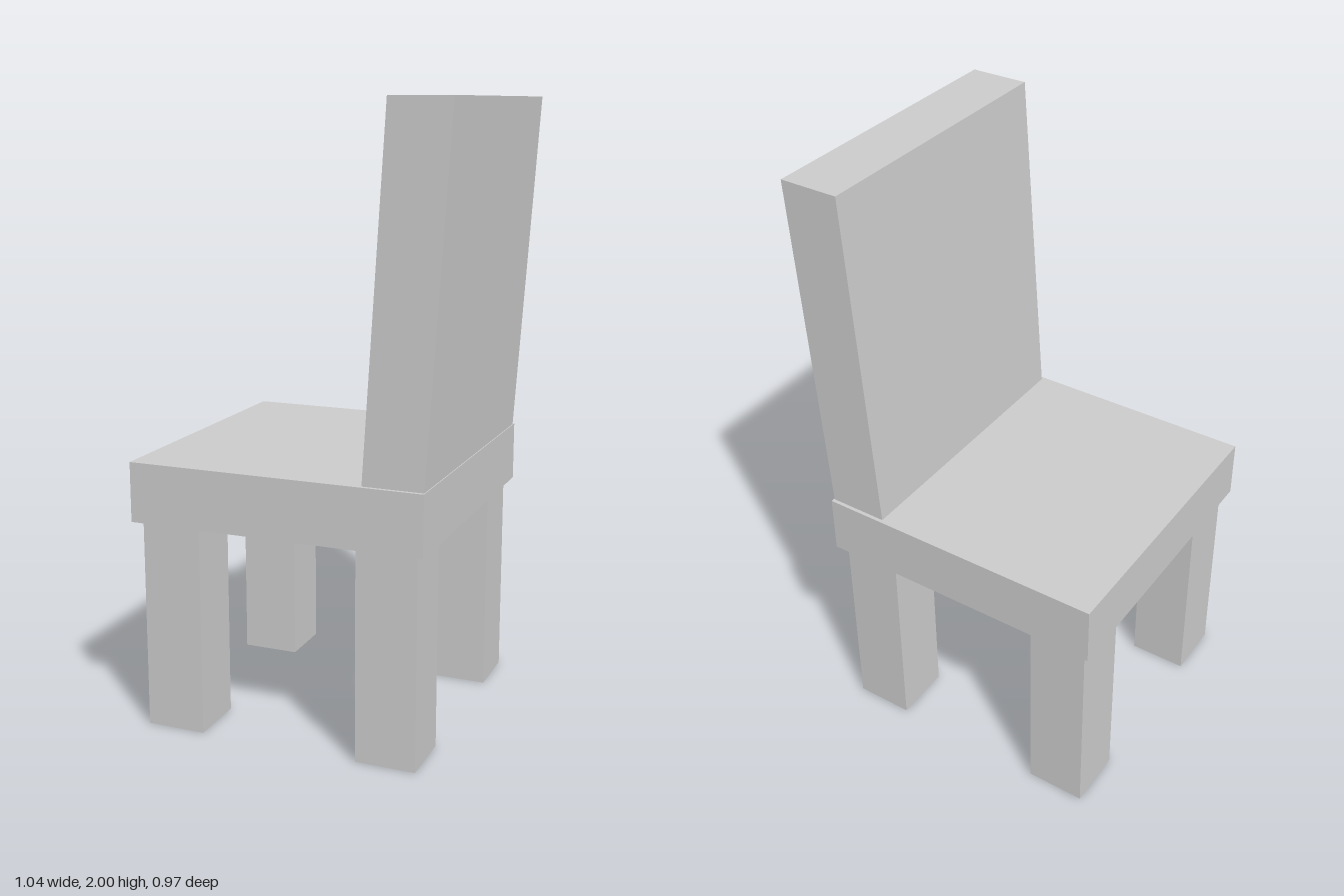
import * as THREE from 'three';

const material = new THREE.MeshStandardMaterial({ color: 0xcccccc, flatShading: true });

function addPart(group, name, geometry, x, y, z) {
  const mesh = new THREE.Mesh(geometry, material);
  mesh.name = name;
  mesh.position.set(x, y, z);
  group.add(mesh);
}

export function createModel() {
  const chair = new THREE.Group();
  chair.name = 'chair';

  // Thick square seat slab
  const legHeight = 0.69, seatTop = 0.885;
  addPart(chair, 'seat', new THREE.BoxGeometry(0.97, seatTop - legHeight, 0.972),
    -0.035, (legHeight + seatTop) / 2, 0);

  // Four square legs, set slightly in from the seat edges
  const legGeometry = new THREE.BoxGeometry(0.196, legHeight, 0.196);
  for (const [end, x] of [['front', -0.395], ['rear', 0.326]]) {
    for (const [side, z] of [['Left', -0.36], ['Right', 0.36]]) {
      addPart(chair, `${end}${side}Leg`, legGeometry, x, legHeight / 2, z);
    }
  }

  // Backrest: a slab sheared to lean away from the seat, with level ends
  const width = 0.948;
  const profile = new THREE.Shape([
    new THREE.Vector2(0.253, seatTop),
    new THREE.Vector2(0.447, seatTop),
    new THREE.Vector2(0.518, 2),
    new THREE.Vector2(0.324, 2),
  ]);
  const backGeometry = new THREE.ExtrudeGeometry(profile, { depth: width, bevelEnabled: false });
  addPart(chair, 'backrest', backGeometry, 0, 0, -width / 2);

  return chair;
}
